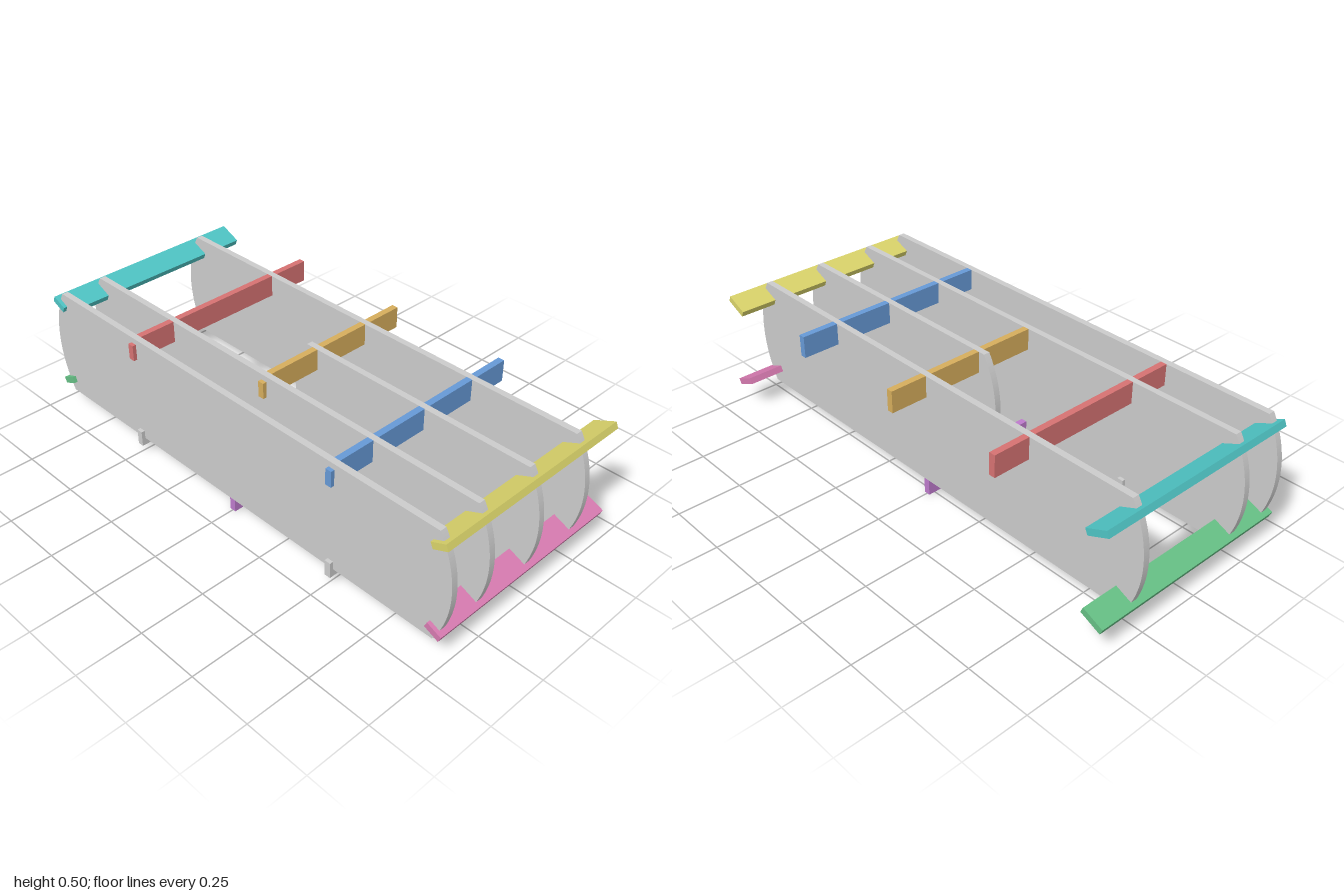
import * as THREE from 'three';

const T = 0.025; // sheet thickness
const TOP = 0.5, BOTTOM = 0.063;
const RIB_Z = [0.397, 0.2235, -0.0205, -0.2635];

function addSheet(group, name, shape, color) {
  const geo = new THREE.ExtrudeGeometry(shape, { depth: T, bevelEnabled: false, curveSegments: 20 });
  geo.translate(0, 0, -T / 2);
  const mesh = new THREE.Mesh(geo, new THREE.MeshStandardMaterial({ color }));
  mesh.name = name;
  group.add(mesh);
  return mesh;
}

// Rib outline: straight top and bottom, bulging circular ends
function ribShape(left, right) {
  const half = (TOP - BOTTOM) / 2, mid = (TOP + BOTTOM) / 2, bulge = 0.06;
  const r = (half * half + bulge * bulge) / (2 * bulge);
  const a = Math.asin(half / r);
  const s = new THREE.Shape();
  s.absarc(right - r, mid, r, -a, a, false);
  s.absarc(left + r, mid, r, Math.PI - a, Math.PI + a, false);
  s.closePath();
  return s;
}

// Stringer outline (length, height) with a slot at every rib it crosses
function stringerShape({ front = 0.424, back = -0.424, height = 0.085, frontH = 0.063, backH = height, slot = 0.04, ribs }) {
  const pts = [[back, 0], [front, 0], [front, frontH]];
  ribs.forEach((i, k) => {
    const a = Math.min(RIB_Z[i] + T / 2, front), b = Math.max(RIB_Z[i] - T / 2, back);
    pts.push([a, k === 0 ? frontH : height], [a, slot], [b, slot]);
    pts.push([b, k === ribs.length - 1 ? backH : height]);
  });
  pts.push([back, backH]);
  const clean = pts.filter((p, i) => i === 0 || p[0] !== pts[i - 1][0] || p[1] !== pts[i - 1][1]);
  return new THREE.Shape(clean.map(([z, h]) => new THREE.Vector2(z, h)));
}

// Place a stringer: its length runs along z, its height along (dx, dy)
function addStringer(group, name, color, x, y, dx, dy, options) {
  const mesh = addSheet(group, name, stringerShape(options), color);
  const along = new THREE.Vector3(0, 0, 1);
  const up = new THREE.Vector3(dx, dy, 0).normalize();
  const m = new THREE.Matrix4().makeBasis(along, up, along.clone().cross(up));
  mesh.quaternion.setFromRotationMatrix(m);
  mesh.position.set(x, y, 0);
}

export function createModel() {
  const model = new THREE.Group();
  model.name = 'slottedFrame';

  // Upright ribs; the third one is short
  RIB_Z.forEach((z, i) => {
    const rib = addSheet(model, i === 2 ? 'shortRib' : 'rib', ribShape(i === 2 ? -0.1 : -1, 1), 0xcccccc);
    rib.position.z = z;
  });

  // Top stringers, flush with the rib tops
  addStringer(model, 'rightTopStringer', 0xd67272, -0.5, 0.415, 0, 1, { ribs: [0, 1, 3] });
  addStringer(model, 'middleTopStringer', 0xd6ad5c, 0, 0.415, 0, 1, { front: 0.251, ribs: [1, 2, 3] });
  addStringer(model, 'leftTopStringer', 0x6699d6, 0.5, 0.415, 0, 1, { ribs: [0, 1, 2, 3] });

  // Tilted corner stringers, pointing in towards the middle
  const corners = [
    ['leftUpperCornerStringer', 0xd9d36a, 1, 1], ['leftLowerCornerStringer', 0xd67ab0, 1, -1],
    ['rightUpperCornerStringer', 0x4fc4c4, -1, 1], ['rightLowerCornerStringer', 0x66bf85, -1, -1],
  ];
  for (const [name, color, sx, sy] of corners) {
    const ribs = sx > 0 ? [0, 1, 2, 3] : [0, 1, 3];
    addStringer(model, name, color, sx * 0.98, 0.282 + sy * 0.186, -sx * 0.914, -sy * 0.405,
      { height: 0.09, slot: 0.045, ribs });
  }

  // Short feet under the two front ribs
  for (const s of [-1, 1]) {
    addStringer(model, s > 0 ? 'leftFoot' : 'rightFoot', 0xcccccc, s * 0.5, 0.033, 0, 1,
      { back: 0.197, backH: 0.063, slot: 0.03, ribs: [0, 1] });
  }

  // Central keel
  addStringer(model, 'keel', 0xbd7acb, 0, 0, 0, 1,
    { front: 0.4, back: -0.276, height: 0.1, frontH: 0.063, backH: 0.063, slot: 0.063, ribs: [0, 1, 2, 3] });

  return model;
}
